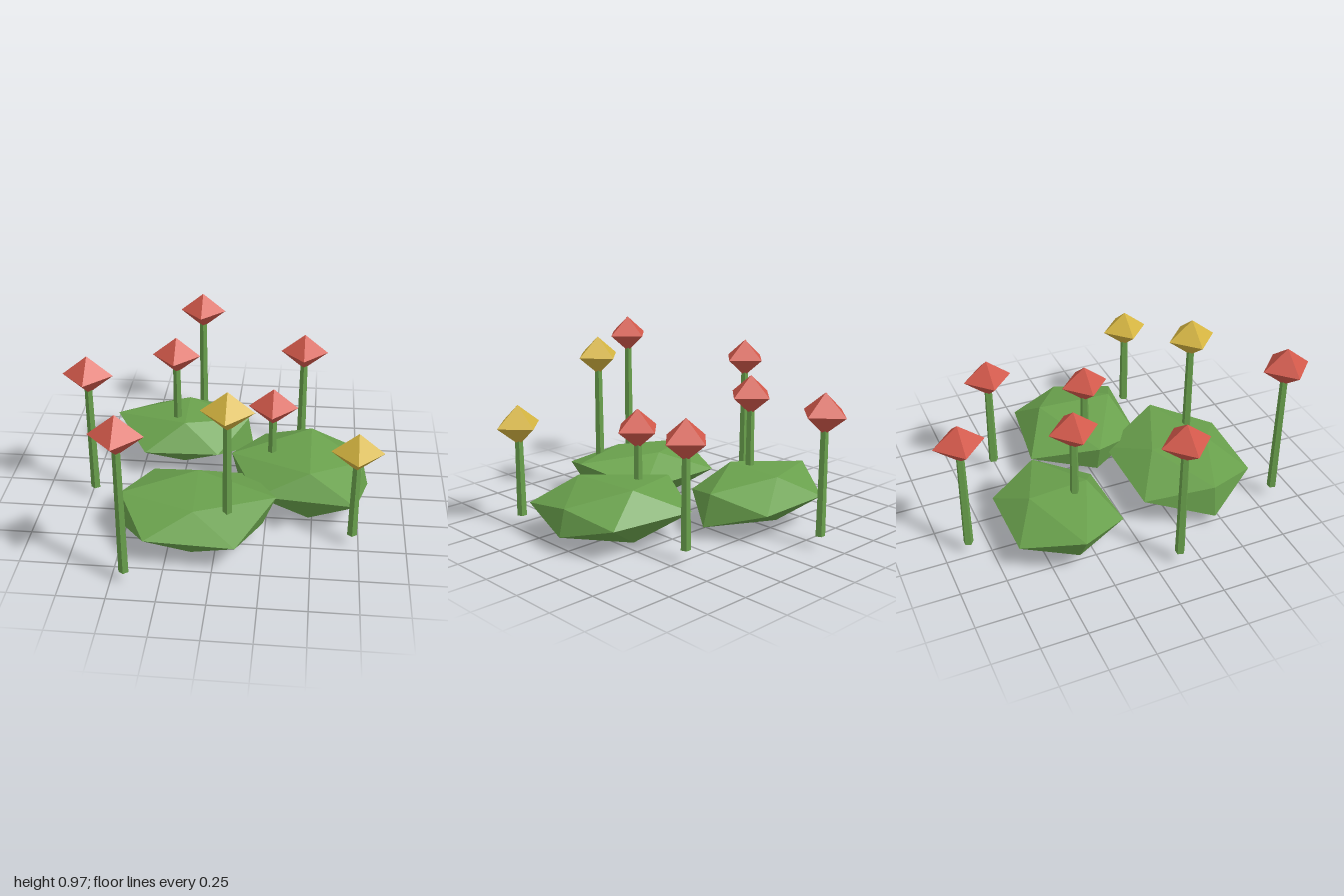
import * as THREE from 'three';
import { ConvexGeometry } from 'three/addons/geometries/ConvexGeometry.js';

function material(name, color) {
  const m = new THREE.MeshStandardMaterial({ color, flatShading: true });
  m.name = name;
  return m;
}

export function createModel() {
  const leafGreen = material('leafGreen', 0x69a04c);
  const petalRed = material('petalRed', 0xd2584a);
  const petalYellow = material('petalYellow', 0xd4b440);
  const model = new THREE.Group();
  model.name = 'flowerPatch';

  // Leaf clumps: flattened, slightly uneven twenty-sided lumps.
  // ridge and keel are the two top and bottom corners, rim the four middle ones,
  // tips the upper and lower corners at each side.
  const clumps = [
    {
      name: 'backClump',
      ridge: [[-0.25, 0.31, -0.2], [-0.26, 0.295, -0.53]],
      rim: [[-0.475, 0.17, -0.665], [-0.03, 0.165, -0.665], [-0.05, 0.17, -0.095], [-0.47, 0.17, -0.08]],
      tips: [[-0.67, 0.26, -0.37], [-0.57, 0.1, -0.37], [0.105, 0.25, -0.385], [0.14, 0.07, -0.37]],
      keel: [[-0.26, 0.04, -0.22], [-0.26, 0.05, -0.53]],
    },
    {
      name: 'frontClump',
      ridge: [[-0.11, 0.265, 0.6], [-0.12, 0.29, 0.25]],
      rim: [[-0.39, 0.17, 0.08], [0.15, 0.17, 0.08], [0.12, 0.17, 0.765], [-0.35, 0.17, 0.745]],
      tips: [[-0.515, 0.25, 0.44], [-0.54, 0.07, 0.44], [0.31, 0.27, 0.44], [0.24, 0.09, 0.43]],
      keel: [[-0.12, 0.03, 0.63], [-0.12, 0.035, 0.22]],
    },
    {
      name: 'rightClump',
      ridge: [[0.48, 0.295, 0.24], [0.48, 0.315, -0.2]],
      rim: [[0.21, 0.17, -0.355], [0.69, 0.17, -0.29], [0.73, 0.17, 0.35], [0.2, 0.17, 0.3]],
      tips: [[0.04, 0.25, 0], [0.08, 0.09, 0], [0.77, 0.235, 0], [0.805, 0.09, 0]],
      keel: [[0.48, 0, 0.23], [0.48, 0.03, -0.2]],
    },
  ];
  for (const { name, ridge, rim, tips, keel } of clumps) {
    const corners = [...ridge, ...rim, ...tips, ...keel].map((p) => new THREE.Vector3(...p));
    const clump = new THREE.Mesh(new ConvexGeometry(corners), leafGreen);
    clump.name = name;
    model.add(clump);
  }

  // Flowers: a thin stem under a squat eight-sided head
  const headGeometry = new THREE.OctahedronGeometry(0.135);
  headGeometry.scale(1, 0.81, 1);
  const stemBase = 0.07;
  const addFlower = (x, y, z, petal) => {
    const flower = new THREE.Group();
    flower.name = 'flower';
    flower.position.set(x, 0, z);
    const height = y - stemBase;
    const stem = new THREE.Mesh(new THREE.CylinderGeometry(0.021, 0.027, height, 5), leafGreen);
    stem.name = 'stem';
    stem.position.y = stemBase + height / 2;
    const head = new THREE.Mesh(headGeometry, petal);
    head.name = 'flowerHead';
    head.position.y = y;
    flower.add(stem, head);
    model.add(flower);
  };
  const redFlowers = [
    [-0.215, 0.72, -0.865],
    [0.417, 0.64, -0.52],
    [-0.303, 0.7, -0.29],
    [0.265, 0.56, 0],
    [-0.718, 0.78, 0.135],
    [-0.428, 0.865, 0.862],
  ];
  const yellowFlowers = [[0.065, 0.843, 0.56], [0.714, 0.577, 0.448]];
  redFlowers.forEach(([x, y, z]) => addFlower(x, y, z, petalRed));
  yellowFlowers.forEach(([x, y, z]) => addFlower(x, y, z, petalYellow));

  return model;
}
